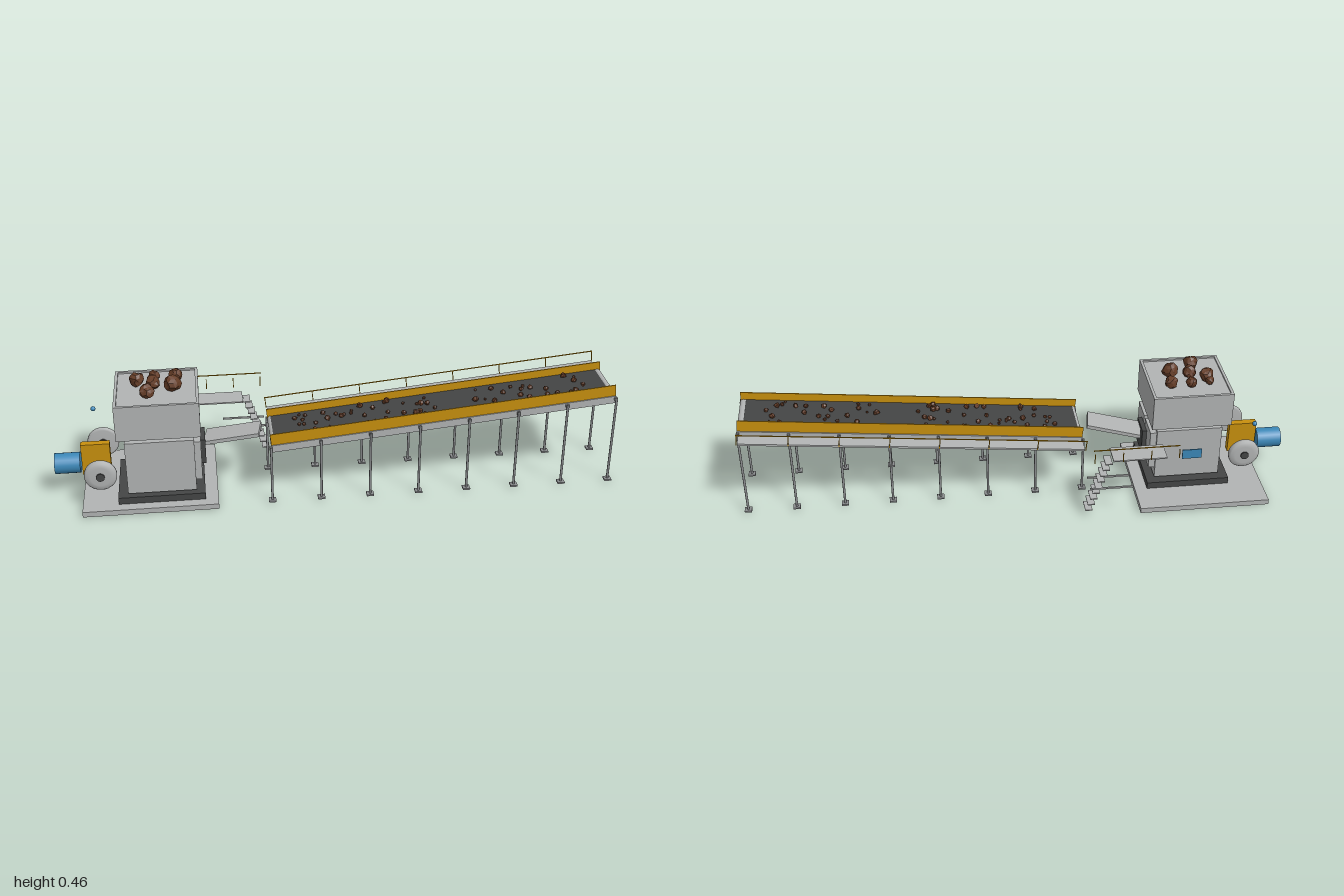
import * as THREE from 'three';

const mat = (name, color, flatShading = false) => {
  const m = new THREE.MeshStandardMaterial({ color, flatShading });
  m.name = name;
  return m;
};

export function createModel() {
  const steel = mat('light steel', 0xb2b4b4);
  const dark = mat('dark rubber', 0x444545);
  const post = mat('mid steel', 0x8c8e90);
  const yellow = mat('safety yellow', 0xc8900e);
  const blue = mat('machine blue', 0x3c88b8);
  const ore = mat('brown ore', 0x643c26, true);

  const model = new THREE.Group();
  model.name = 'crusherAndConveyor';
  const group = (name, parent = model) => {
    const g = new THREE.Group();
    g.name = name;
    parent.add(g);
    return g;
  };
  const add = (parent, name, geo, m, x, y, z) => {
    const mesh = new THREE.Mesh(geo, m);
    mesh.name = name;
    mesh.position.set(x, y, z);
    parent.add(mesh);
    return mesh;
  };
  // Box given by its minimum and maximum corners
  const box = (parent, name, m, x0, x1, y0, y1, z0, z1) =>
    add(parent, name, new THREE.BoxGeometry(x1 - x0, y1 - y0, z1 - z0), m,
      (x0 + x1) / 2, (y0 + y1) / 2, (z0 + z1) / 2);
  const cyl = (parent, name, m, r, len, axis, x, y, z, sides = 24) => {
    const g = new THREE.CylinderGeometry(r, r, len, sides);
    if (axis === 'x') g.rotateZ(Math.PI / 2);
    if (axis === 'z') g.rotateX(Math.PI / 2);
    return add(parent, name, g, m, x, y, z);
  };

  // Seeded random numbers
  let seed = 7;
  const rnd = () => (seed = (seed * 16807) % 2147483647) / 2147483647;

  // Lumpy ore chunk
  const rock = (parent, x, y, z, r) => {
    const g = new THREE.IcosahedronGeometry(r, r > 0.015 ? 1 : 0);
    const p = g.attributes.position;
    const k = rnd() * 10;
    for (let i = 0; i < p.count; i++) {
      const v = new THREE.Vector3().fromBufferAttribute(p, i);
      const f = 1 + 0.18 * Math.sin(v.x / r * 3 + k) * Math.cos(v.y / r * 4 + v.z / r * 3 + k);
      p.setXYZ(i, v.x * f, v.y * f, v.z * f);
    }
    g.computeVertexNormals();
    const m = add(parent, 'oreChunk', g, ore, x, y, z);
    m.rotation.set(rnd() * 6, rnd() * 6, rnd() * 6);
    return m;
  };

  // ---- Crusher ----
  const crusher = group('crusher');
  box(crusher, 'basePlate', steel, -0.905, -0.43, 0, 0.02, -0.2, 0.22);
  box(crusher, 'skid', dark, -0.78, -0.475, 0.022, 0.047, -0.085, 0.185);
  box(crusher, 'body', steel, -0.745, -0.505, 0.055, 0.256, -0.059, 0.171);
  box(crusher, 'neck', post, -0.685, -0.57, 0.256, 0.285, -0.01, 0.12);
  for (const z of [0.057, -0.059 + 0.066]) {
    const z0 = z > 0.05 ? 0.066 : -0.051;
    box(crusher, 'outletPanel', steel, -0.505, -0.482, 0.094, 0.245, z0, z0 + 0.099);
  }
  box(crusher, 'outletFrame', dark, -0.484, -0.466, 0.12, 0.215, 0.01, 0.102);
  box(crusher, 'inspectionPlate', blue, -0.67, -0.598, 0.146, 0.184, -0.084, -0.08);

  // Hopper with a slightly raised rim
  const hopper = group('hopper', crusher);
  box(hopper, 'hopperBox', steel, -0.77, -0.48, 0.28, 0.405, -0.081, 0.194);
  for (const z of [-0.081, 0.184]) box(hopper, 'rim', steel, -0.77, -0.48, 0.405, 0.411, z, z + 0.01);
  for (const x of [-0.77, -0.49]) box(hopper, 'rim', steel, x, x + 0.01, 0.405, 0.411, -0.071, 0.184);
  for (const [x, z, r] of [[-0.63, -0.005, 0.02], [-0.556, 0.0, 0.023], [-0.69, 0.03, 0.026],
    [-0.636, 0.06, 0.025], [-0.567, 0.075, 0.029], [-0.655, 0.122, 0.026], [-0.698, 0.005, 0.016]])
    rock(hopper, x, 0.407 + r * 0.9, z, r);

  // Drive: motor, guard, domed flywheels
  const drive = group('drive', crusher);
  cyl(drive, 'motor', blue, 0.037, 0.09, 'x', -0.955, 0.124, 0.05);
  box(drive, 'beltGuard', yellow, -0.905, -0.803, 0.08, 0.2, 0.038, 0.064);
  const wheel = new THREE.LatheGeometry([[0, -0.012], [0.05, -0.012], [0.057, -0.008], [0.057, 0.002],
    [0.051, 0.009], [0.035, 0.012], [0, 0.012]].map(([r, y]) => new THREE.Vector2(r, y)), 32);
  for (const s of [1, -1]) {
    const z = 0.055 + s * 0.12;
    add(drive, 'flywheel', wheel, steel, -0.834, 0.139, z).rotation.x = s * Math.PI / 2;
    cyl(drive, 'flywheelHub', dark, 0.015, 0.034, 'z', -0.834, 0.139, z);
  }
  add(drive, 'statusLamp', new THREE.SphereGeometry(0.009, 12, 8), blue, -0.86, 0.272, -0.07);

  // ---- Transfer chute ----
  const chute = group('chute');
  chute.position.set(-0.368, 0.218, 0.063);
  chute.rotation.set(0, -0.16, 0.19, 'YXZ');
  box(chute, 'chutePlate', steel, -0.1, 0.1, -0.01, 0.004, -0.047, 0.047);

  // ---- Inclined conveyor ----
  const X0 = -0.24, X1 = 0.985, ZC = 0.084;
  const beltY = x => 0.235 + 0.12 * (x - X0) / (X1 - X0);
  const angle = Math.atan(0.12 / (X1 - X0));
  const L = (X1 - X0) / Math.cos(angle), H = L / 2;
  const conveyor = group('conveyor');
  conveyor.position.set((X0 + X1) / 2, 0.295, ZC);
  conveyor.rotation.z = angle;
  box(conveyor, 'belt', dark, -H + 0.012, H - 0.02, -0.008, 0, -0.089, 0.089);
  for (const s of [1, -1]) {
    const z = s * 0.093;
    box(conveyor, 'skirt', yellow, -H, H, -0.014, 0.028, z - 0.002, z + 0.002);
    box(conveyor, 'sideRail', steel, -H, H, -0.041, -0.014, z - 0.006, z + 0.006);
  }
  for (let i = 0; i < 14; i++)
    cyl(conveyor, 'idlerRoller', steel, 0.009, 0.18, 'z', -H + 0.05 + i * (L - 0.1) / 13, -0.02, 0, 12);
  for (const s of [1, -1]) cyl(conveyor, 'endDrum', steel, 0.013, 0.184, 'z', s * (H - 0.012), -0.013, 0);

  // Ore scattered on the belt in two stretches
  for (let i = 0; i < 64; i++) {
    const u = i < 38 ? -0.52 + rnd() * 0.5 : 0.12 + rnd() * 0.42;
    const r = 0.005 + rnd() * 0.007;
    rock(conveyor, u, r * 0.6, (rnd() - 0.5) * 0.15, r);
  }

  // Legs with foot pads on both sides
  const supports = group('supports');
  for (let i = 0; i < 8; i++) {
    const x = X0 + i * (X1 - X0) / 7;
    for (const z of [-0.028, 0.195]) {
      const top = beltY(x) - 0.014;
      cyl(supports, 'leg', post, 0.0045, top - 0.008, 'y', x, (top + 0.008) / 2, z, 10);
      box(supports, 'footPad', post, x - 0.013, x + 0.013, 0.004, 0.01, z - 0.013, z + 0.013);
      box(supports, 'legBracket', post, x - 0.005, x + 0.005, top - 0.014, top - 0.004,
        Math.min(z, ZC + Math.sign(z - ZC) * 0.095), Math.max(z, ZC + Math.sign(z - ZC) * 0.095));
    }
  }

  // ---- Walkway beside the conveyor ----
  const walkway = group('walkway');
  walkway.position.set((X0 + X1) / 2, 0.2825, 0);
  walkway.rotation.z = angle;
  box(walkway, 'walkwayDeck', steel, -H + 0.005, H - 0.005, -0.004, 0.003, -0.097, -0.045);
  box(walkway, 'handrail', yellow, -H, H, 0.038, 0.041, -0.101, -0.098);
  for (let i = 0; i < 8; i++) {
    const x = -H + 0.003 + i * (L - 0.006) / 7;
    box(walkway, 'handrailPost', yellow, x - 0.0015, x + 0.0015, 0, 0.039, -0.101, -0.098);
  }

  // ---- Service platform and stairs ----
  const platform = group('servicePlatform');
  box(platform, 'platformDeck', steel, -0.513, -0.32, 0.236, 0.241, -0.2, -0.118);
  box(platform, 'platformRail', yellow, -0.55, -0.245, 0.302, 0.305, -0.221, -0.218);
  for (let i = 0; i < 4; i++) {
    const x = -0.55 + i * 0.1;
    box(platform, 'platformPost', yellow, x - 0.0015, x + 0.0015, 0.25, 0.288, -0.221, -0.218);
  }
  for (let i = 0; i < 9; i++) {
    const x = -0.318 + i * 0.0082, y = 0.2245 - i * 0.0247;
    box(platform, 'stairTread', steel, x, x + 0.026, y - 0.002, y + 0.002, -0.197, -0.143);
  }
  for (const z of [-0.135, -0.203])
    box(platform, 'stairStringer', steel, -0.395, -0.24, 0.124, 0.13, z - 0.003, z + 0.003);

  return model;
}
